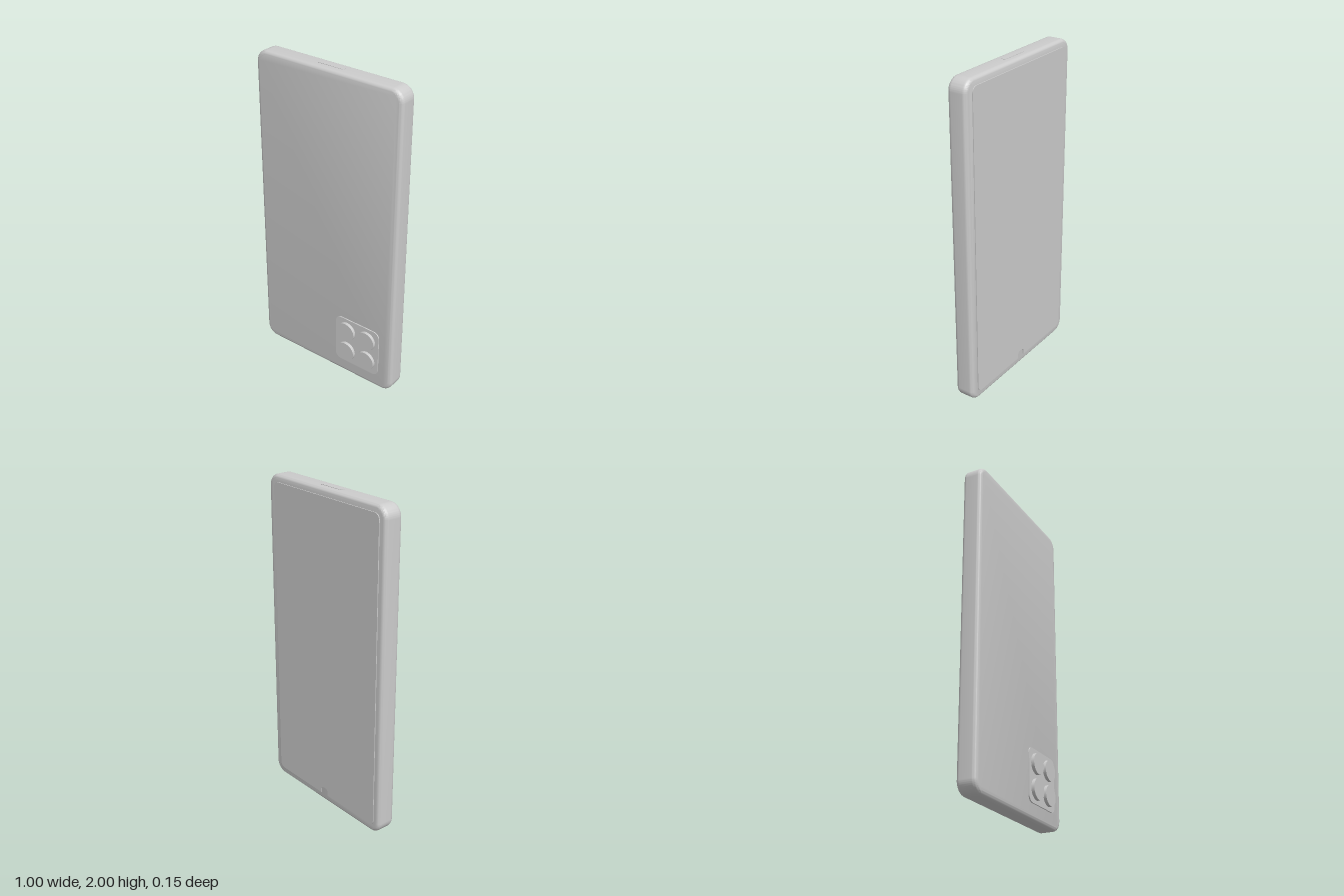
import * as THREE from 'three';
import { toCreasedNormals } from 'three/addons/utils/BufferGeometryUtils.js';

const material = new THREE.MeshStandardMaterial({ color: 0xcccccc });

// Rounded rectangle centred on (cx, cy); an optional notch is cut into the bottom edge.
function roundedRect(cx, cy, w, h, r, notch) {
  const s = new THREE.Shape();
  const x0 = cx - w / 2, x1 = cx + w / 2, y0 = cy - h / 2, y1 = cy + h / 2;
  s.moveTo(x0 + r, y0);
  if (notch) {
    const { half, height, radius } = notch, top = y0 + height;
    s.lineTo(cx - half, y0);
    s.lineTo(cx - half, top - radius);
    s.absarc(cx - half + radius, top - radius, radius, Math.PI, Math.PI / 2, true);
    s.absarc(cx + half - radius, top - radius, radius, Math.PI / 2, 0, true);
    s.lineTo(cx + half, y0);
  }
  s.absarc(x1 - r, y0 + r, r, -Math.PI / 2, 0, false);
  s.absarc(x1 - r, y1 - r, r, 0, Math.PI / 2, false);
  s.absarc(x0 + r, y1 - r, r, Math.PI / 2, Math.PI, false);
  s.absarc(x0 + r, y0 + r, r, Math.PI, Math.PI * 1.5, false);
  return s;
}

// Slab from z0 to z1 with optionally rounded rims.
function slab(name, shape, z0, z1, bevel = 0) {
  const geometry = new THREE.ExtrudeGeometry(shape, {
    depth: z1 - z0 - 2 * bevel,
    curveSegments: 12,
    bevelEnabled: bevel > 0,
    bevelThickness: bevel,
    bevelSize: bevel,
    bevelOffset: -bevel,
    bevelSegments: 6,
  });
  geometry.translate(0, 0, z0 + bevel);
  const mesh = new THREE.Mesh(toCreasedNormals(geometry, 0.6), material);
  mesh.name = name;
  return mesh;
}

export function createModel() {
  const phone = new THREE.Group();
  phone.name = 'phone';

  // Body with rounded corners and softened rims
  phone.add(slab('body', roundedRect(0, 0.999, 1, 1.998, 0.075), -0.073, 0.049, 0.025));

  // Display glass on the rear side, notched at the bottom
  const notch = { half: 0.03, height: 0.045, radius: 0.02 };
  phone.add(slab('screen', roundedRect(-0.005, 1.0025, 0.9, 1.905, 0.035, notch), -0.078, -0.06));

  // Camera plate and its four lenses
  const camera = new THREE.Group();
  camera.name = 'camera';
  camera.add(slab('cameraPlate', roundedRect(0.244, 0.255, 0.322, 0.322, 0.04), 0.04, 0.056));
  const lensGeometry = new THREE.CylinderGeometry(0.0625, 0.0625, 0.03, 40).rotateX(Math.PI / 2);
  for (const x of [0.169, 0.319]) {
    for (const y of [0.18, 0.33]) {
      const lens = new THREE.Mesh(lensGeometry, material);
      lens.name = 'lens';
      lens.position.set(x, y, 0.06);
      camera.add(lens);
    }
  }
  phone.add(camera);

  // Port cover set into the top edge
  const port = slab('port', roundedRect(0, 0, 0.178, 0.026, 0.006), -0.01, 0.002);
  port.rotation.x = -Math.PI / 2;
  port.position.set(-0.005, 1.998, -0.013);
  phone.add(port);

  return phone;
}
